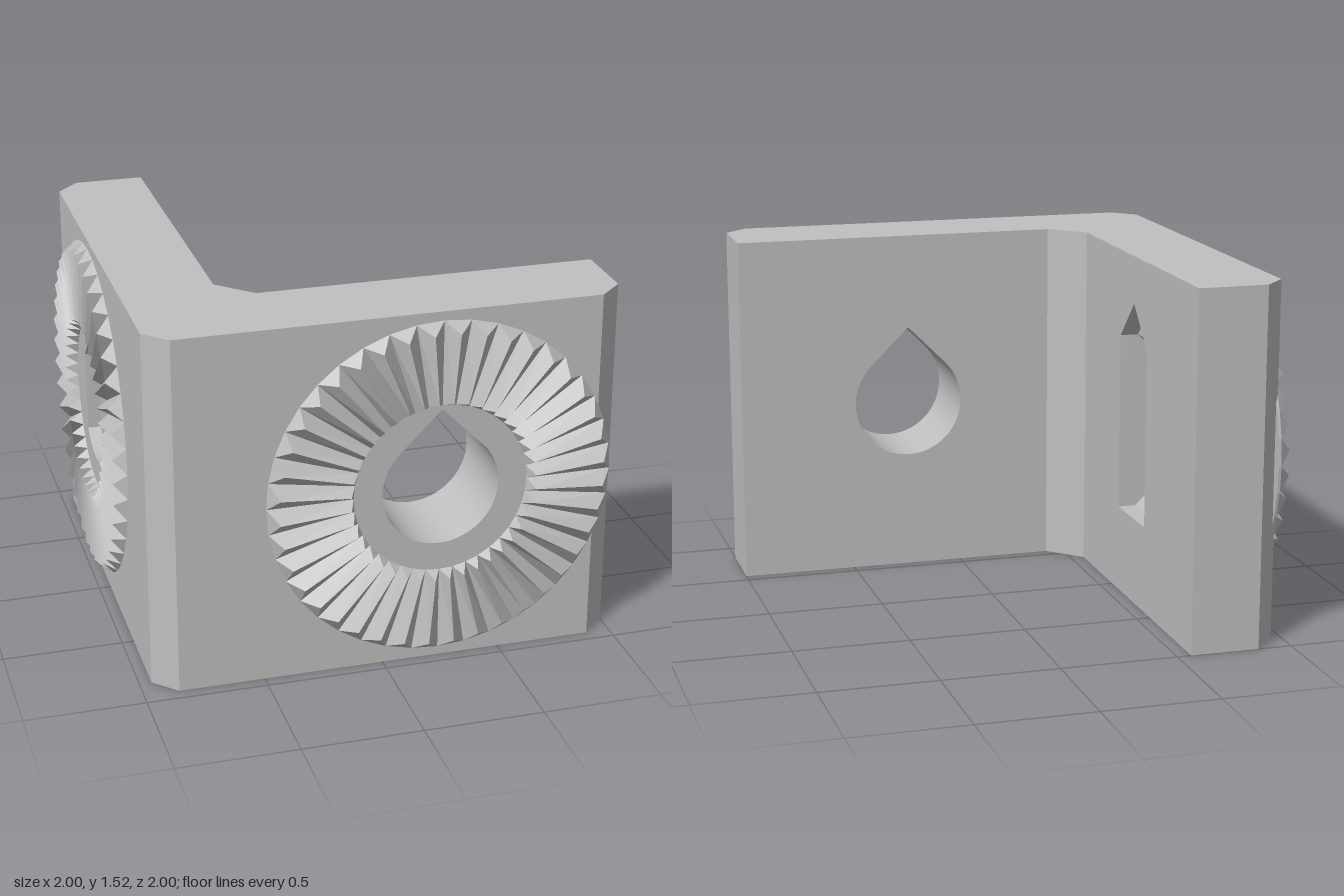
import * as THREE from 'three';
import { toCreasedNormals, mergeGeometries } from 'three/addons/utils/BufferGeometryUtils.js';

const HEIGHT = 1.525, CY = 0.762, CX = 0.237, CZ = -0.237, R = 0.245;
const V = (x, y, z) => new THREE.Vector3(x, y, z);

// Flat-shaded geometry from a list of convex quads and triangles
function fromFaces(faces) {
  const pts = [];
  for (const f of faces) for (let i = 1; i < f.length - 1; i++) pts.push(f[0], f[i], f[i + 1]);
  const g = new THREE.BufferGeometry().setFromPoints(pts);
  g.computeVertexNormals();
  return g;
}

// Skin across a closed loop of rows of points
function skin(rows) {
  const faces = [];
  rows.forEach((a, k) => {
    const b = rows[(k + 1) % rows.length];
    for (let i = 0; i < a.length - 1; i++) faces.push([a[i], b[i], b[i + 1]], [a[i], b[i + 1], a[i + 1]]);
  });
  return toCreasedNormals(fromFaces(faces), 0.4);
}

// Teardrop bore through the front plate
function boreRows() {
  const outline = [];
  const n = 48;
  for (let i = 0; i <= n; i++) {
    const a = Math.PI * (0.75 + 1.5 * i / n);
    outline.push([CX + R * Math.cos(a), CY + R * Math.sin(a)]);
  }
  outline.push([CX, CY + R * Math.SQRT2]);
  return outline.map(([x, y]) => [V(x, y, 0.945), V(x, y, 0.555)]);
}

// Flat-sided bore through the side plate, flaring into a gabled pocket on the inner face
function slotRows() {
  const half = 0.17, n = 16, inner = -0.56, step = -0.64, outer = -0.95;
  const top = 1.15, bottom = 0.377;
  const ceiling = [], floor = [];
  for (let i = 0; i <= n; i++) {
    const d = half * (2 * i / n - 1), z = CZ + d;
    const peak = top + half - Math.abs(d);
    const t = CY + R * Math.SQRT2 - Math.abs(d);
    const f = CY - Math.sqrt(R * R - d * d);
    ceiling.push([V(inner, peak, z), V(step, peak, z), V(step, top, z),
      V(step - (top - t), t, z), V(outer, t, z)]);
    floor.unshift([V(inner, bottom, z), V(step, bottom, z), V(step, bottom, z),
      V(step - (f - bottom), f, z), V(outer, f, z)]);
  }
  return [...ceiling, ...floor];
}

// Upright panel over one edge of the plan, with an optional hole
function panel([x0, z0], [x1, z1], hole) {
  const dir = V(x1 - x0, 0, z1 - z0), len = dir.length();
  dir.normalize();
  const P = (u, y) => new THREE.Vector2(u, y);
  const shape = new THREE.Shape([P(0, 0), P(len, 0), P(len, HEIGHT), P(0, HEIGHT)]);
  if (hole) {
    shape.holes.push(new THREE.Path(hole.map(p => P((p.x - x0) * dir.x + (p.z - z0) * dir.z, p.y))));
  }
  const m = new THREE.Matrix4().makeBasis(dir, V(0, 1, 0), V(-dir.z, 0, dir.x)).setPosition(x0, 0, z0);
  return new THREE.ShapeGeometry(shape).applyMatrix4(m);
}

// Ring of radial locking teeth facing +z, centred on its own axis
function toothRing() {
  const N = 40, base = 0.935, valley = 0.946, ridge = 1;
  const at = (r, k, z) => V(r * Math.cos(k * 2 * Math.PI / N), r * Math.sin(k * 2 * Math.PI / N), z);
  const faces = [];
  for (let k = 0; k < N; k++) {
    const vi0 = at(0.365, k, valley), vo0 = at(0.725, k, valley);
    const vi1 = at(0.365, k + 1, valley), vo1 = at(0.725, k + 1, valley);
    const ri = at(0.39, k + 0.5, ridge), ro = at(0.68, k + 0.5, ridge);
    const bi0 = at(0.365, k, base), bo0 = at(0.725, k, base);
    const bi1 = at(0.365, k + 1, base), bo1 = at(0.725, k + 1, base);
    faces.push([vi0, vo0, ro, ri], [ri, ro, vo1, vi1]); // flanks
    faces.push([vo0, vo1, ro], [vi0, ri, vi1]);         // tooth ends
    faces.push([bo0, bo1, vo1, vo0], [bi0, bi1, bo1, bo0]); // rim and back
  }
  return fromFaces(faces);
}

export function createModel() {
  const model = new THREE.Group();
  model.name = 'angleBracket';
  const grey = new THREE.MeshStandardMaterial({ color: 0xc0c0c0 });
  grey.name = 'grey';
  const add = (name, geometry) => {
    const mesh = new THREE.Mesh(geometry, grey);
    mesh.name = name;
    model.add(mesh);
    return mesh;
  };

  // L-shaped plan as x, z corners
  const plan = [[-0.855, 0.945], [0.9, 0.945], [1, 0.85], [1, 0.555], [-0.42, 0.555],
    [-0.56, 0.415], [-0.56, -1], [-0.855, -1], [-0.95, -0.9], [-0.95, 0.85]];
  const bore = boreRows(), slot = slotRows();
  const first = rows => rows.map(r => r[0]);
  const last = rows => rows.map(r => r[r.length - 1]);
  const holes = { 0: first(bore), 4 : null, 3: last(bore), 5: first(slot), 8: last(slot) };

  // Body: walls, top and bottom
  const parts = plan.map((p, i) => panel(p, plan[(i + 1) % plan.length], holes[i]));
  const cap = s => new THREE.ShapeGeometry(new THREE.Shape(plan.map(([x, z]) => new THREE.Vector2(x, s * z))));
  parts.push(cap(-1).rotateX(-Math.PI / 2).translate(0, HEIGHT, 0));
  parts.push(cap(1).rotateX(Math.PI / 2));
  add('bracketBody', mergeGeometries(parts));

  // Bores
  add('frontBore', skin(bore));
  add('sideSlot', skin(slot));

  // Toothed rings on both outer faces
  const teeth = toothRing();
  add('frontToothRing', teeth).position.set(CX, CY, 0);
  const side = add('sideToothRing', teeth);
  side.position.set(-0.003, CY, CZ);
  side.rotation.y = -Math.PI / 2;
  return model;
}
